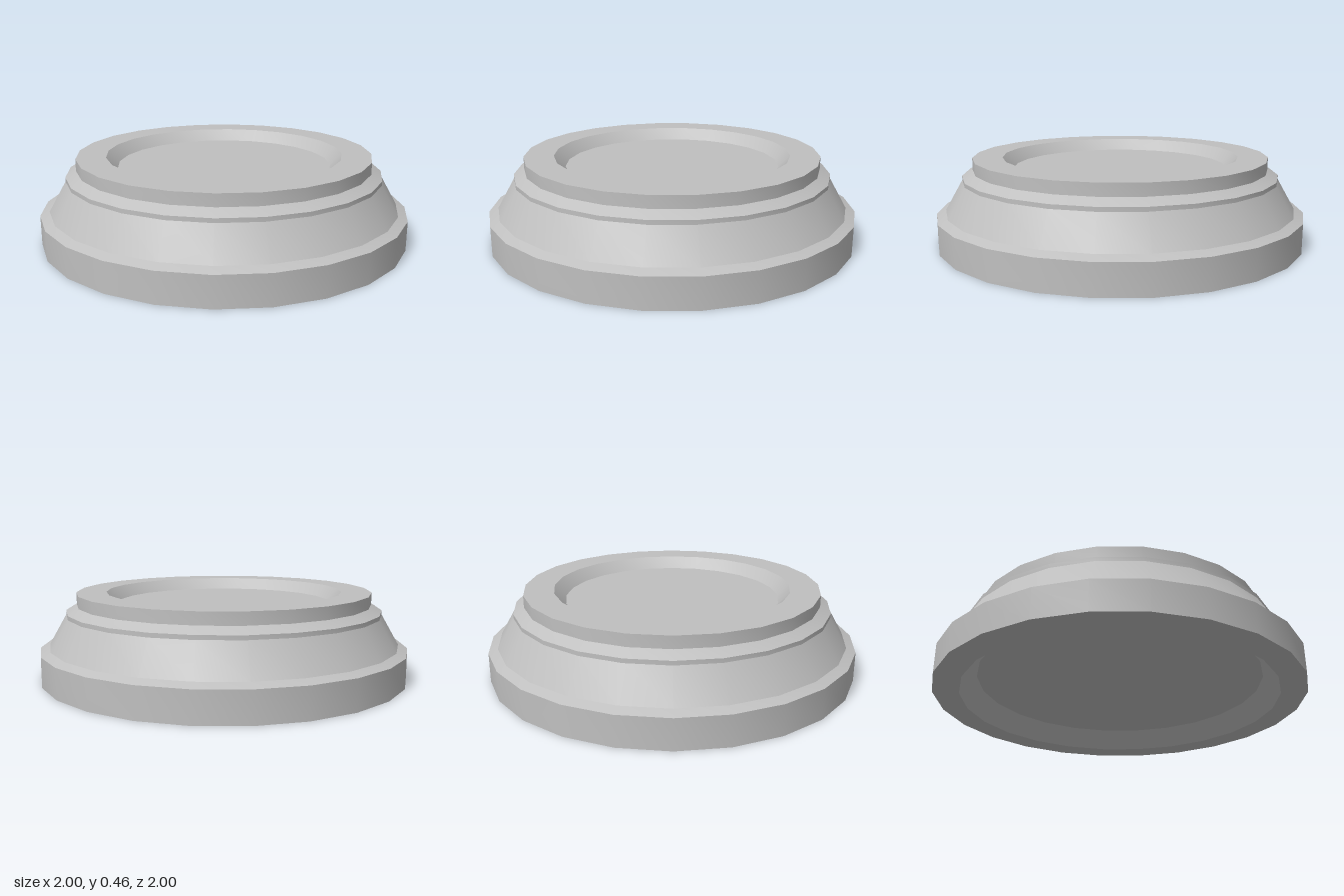
import * as THREE from 'three';
import { toCreasedNormals } from 'three/addons/utils/BufferGeometryUtils.js';

const SIDES = 24;

export function createModel() {
  const stone = new THREE.MeshStandardMaterial({ color: 0xc0c0c0 });
  stone.name = 'grey stone';

  const model = new THREE.Group();
  model.name = 'roundPedestal';

  // Profiles run from the underside outwards, up and back in, as [radius, height].
  const turned = (name, profile) => {
    const points = profile.map(([r, y]) => new THREE.Vector2(r, y));
    const geometry = toCreasedNormals(new THREE.LatheGeometry(points, SIDES), 0.38);
    const mesh = new THREE.Mesh(geometry, stone);
    mesh.name = name;
    model.add(mesh);
  };

  // Hollowed underside
  turned('undersideRecess', [[0, 0.1], [0.775, 0.1], [0.86, 0]]);
  // Wide foot with a shallow sloping ledge
  turned('foot', [[0.86, 0], [1, 0], [1, 0.16], [0.95, 0.18]]);
  // Tapered body
  turned('taperedBody', [[0.95, 0.18], [0.857, 0.342]]);
  // Narrow collar with a bevelled shoulder
  turned('collar', [[0.857, 0.342], [0.857, 0.364], [0.8, 0.396]]);
  // Upper rim
  turned('upperRim', [[0.8, 0.396], [0.8, 0.46], [0.64, 0.46]]);
  // Shallow dish in the top
  turned('topDish', [[0.64, 0.46], [0.58, 0.4], [0, 0.4]]);

  return model;
}
